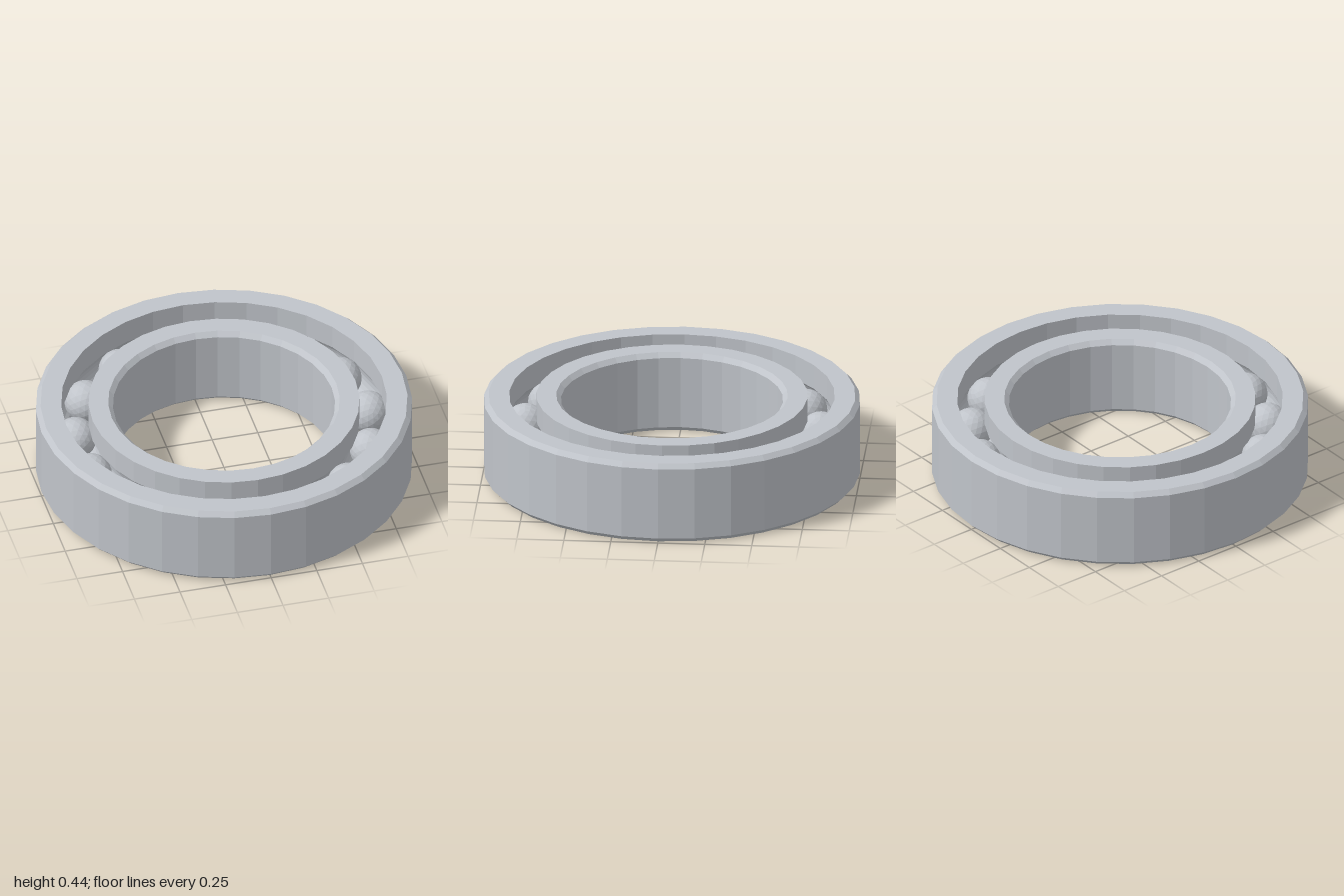
import * as THREE from 'three';

const HEIGHT = 0.445, MID = HEIGHT / 2;
const CHAMFER = 0.025;
const SEGMENTS = 32;
const PITCH = 0.79;          // radius of the circle of ball centres
const BALL = 0.113, BALL_COUNT = 15;
const GROOVE = 0.115;        // raceway groove radius

// Gives every face its own normal
function faceted(geometry) {
  const g = geometry.index ? geometry.toNonIndexed() : geometry;
  g.computeVertexNormals();
  return g;
}

// Arc of the raceway that meets the wall at the given radius
function groove(wall, facing, steps = 8) {
  const half = Math.acos(Math.abs(wall - PITCH) / GROOVE);
  const points = [];
  for (let i = 0; i <= steps; i++) {
    const a = half * (1 - 2 * i / steps);
    points.push([PITCH + facing * GROOVE * Math.cos(a), MID + facing * GROOVE * Math.sin(a)]);
  }
  return points;
}

// Revolves a closed, counter-clockwise section
function ring(name, section, material) {
  const points = [...section, section[0]].map(([r, y]) => new THREE.Vector2(r, y));
  const mesh = new THREE.Mesh(faceted(new THREE.LatheGeometry(points, SEGMENTS)), material);
  mesh.name = name;
  return mesh;
}

export function createModel() {
  const model = new THREE.Group();
  model.name = 'ballBearing';
  const steel = new THREE.MeshStandardMaterial({ color: 0xc0c4ca });
  steel.name = 'steel';

  // Outer race: chamfered outside, grooved inside
  const outerWall = 0.865;
  model.add(ring('outerRace', [
    [outerWall, 0], [1 - CHAMFER, 0], [1, CHAMFER],
    [1, HEIGHT - CHAMFER], [1 - CHAMFER, HEIGHT], [outerWall, HEIGHT],
    ...groove(outerWall, 1),
  ], steel));

  // Inner race: chamfered bore, grooved outside
  const innerWall = 0.72, bore = 0.59;
  model.add(ring('innerRace', [
    [bore + CHAMFER, 0], [innerWall, 0],
    ...groove(innerWall, -1),
    [innerWall, HEIGHT], [bore + CHAMFER, HEIGHT],
    [bore, HEIGHT - CHAMFER], [bore, CHAMFER],
  ], steel));

  // Balls
  const balls = new THREE.Group();
  balls.name = 'balls';
  const ballGeometry = faceted(new THREE.IcosahedronGeometry(BALL, 3));
  for (let i = 0; i < BALL_COUNT; i++) {
    const a = i / BALL_COUNT * Math.PI * 2;
    const ball = new THREE.Mesh(ballGeometry, steel);
    ball.name = 'ball';
    ball.position.set(PITCH * Math.cos(a), MID, PITCH * Math.sin(a));
    balls.add(ball);
  }
  model.add(balls);
  return model;
}
